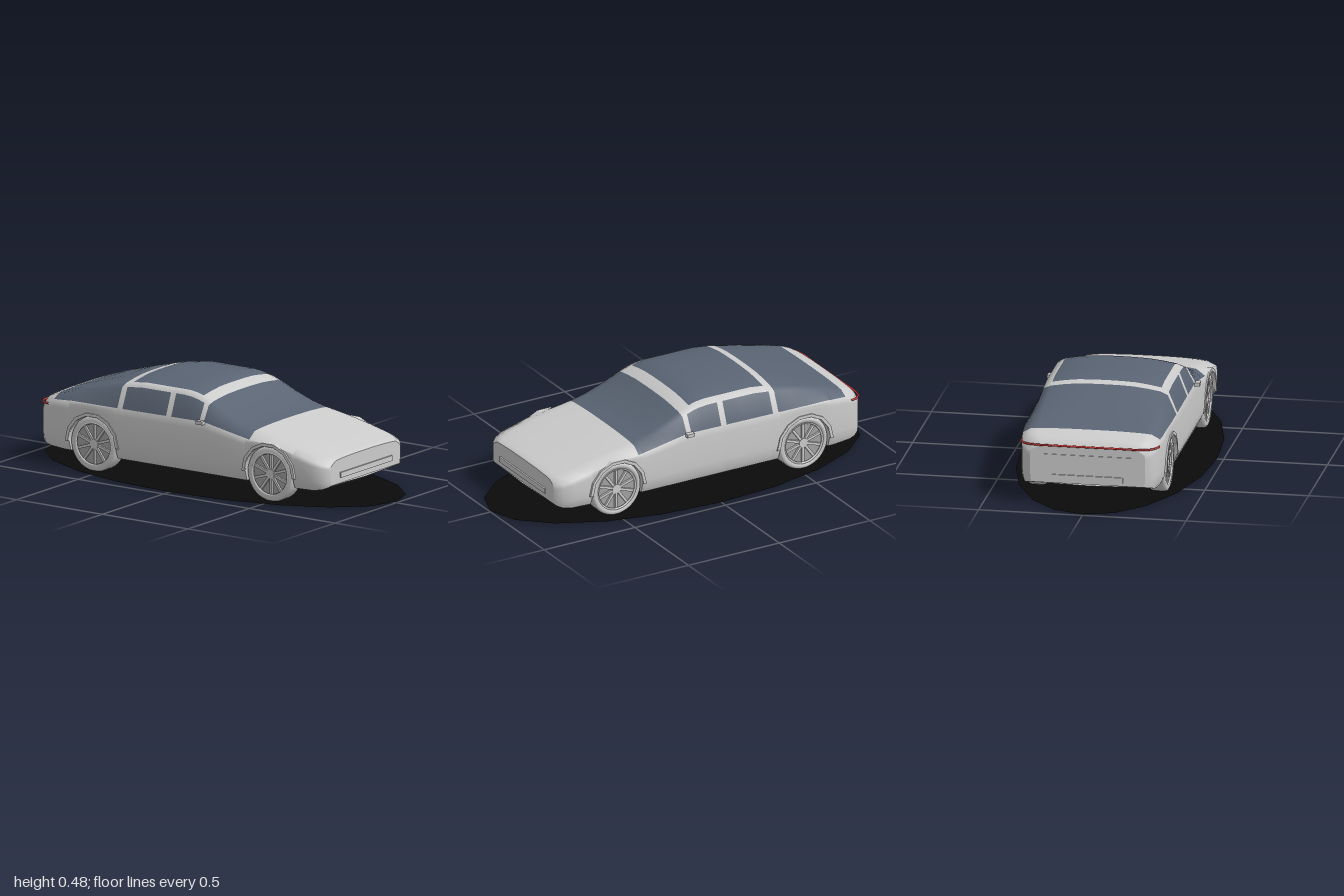
import * as THREE from 'three';

const mat = (name, color, side = THREE.FrontSide) => {
  const m = new THREE.MeshStandardMaterial({ color, side });
  m.name = name;
  return m;
};

// Linear lookup in a list of [z, value] keys running front to rear
const lookup = keys => z => {
  if (z >= keys[0][0]) return keys[0][1];
  for (let i = 1; i < keys.length; i++) {
    const [z0, v0] = keys[i - 1], [z1, v1] = keys[i];
    if (z >= z1) return v0 + (v1 - v0) * (z - z0) / (z1 - z0);
  }
  return keys[keys.length - 1][1];
};

// Body lines along the length
const top = lookup([[0.82, 0.235], [0.81, 0.242], [0.75, 0.256], [0.6, 0.288], [0.385, 0.333], [0.3, 0.353],
  [0.2, 0.395], [0.12, 0.438], [0.065, 0.464], [0.03, 0.476], [-0.02, 0.483], [-0.27, 0.483], [-0.345, 0.472],
  [-0.385, 0.463], [-0.5, 0.433], [-0.65, 0.388], [-0.76, 0.352], [-0.81, 0.335], [-0.84, 0.32], [-0.86, 0.297]]);
const belt = lookup([[0.82, 0.205], [0.75, 0.228], [0.6, 0.265], [0.5, 0.283], [0.385, 0.288], [0.12, 0.337],
  [-0.1, 0.335], [-0.65, 0.33], [-0.76, 0.322], [-0.82, 0.3], [-0.86, 0.268]]);
const width = lookup([[0.82, 0.283], [0.81, 0.3], [0.785, 0.322], [0.74, 0.335], [0.6, 0.341], [0.3, 0.345],
  [-0.5, 0.345], [-0.7, 0.341], [-0.79, 0.332], [-0.825, 0.32], [-0.85, 0.297], [-0.86, 0.277]]);
const sill = lookup([[0.82, 0.112], [0.8, 0.095], [0.74, 0.086], [0.6, 0.083], [-0.7, 0.083], [-0.8, 0.09], [-0.86, 0.11]]);

const AXLES = [0.5, -0.53], WHEEL_Y = 0.134, ARCH = 0.137;
const rim = z => {
  for (const a of AXLES) {
    const d = z - a;
    if (Math.abs(d) <= ARCH + 1e-6) return WHEEL_Y + Math.sqrt(Math.max(0, ARCH * ARCH - d * d));
  }
  return sill(z);
};

// Half section from the sill to the roof centre
const SIDE = [0, 0.12, 0.3, 0.6, 0.85, 1];
const UPPER = [[0.87, 0.72], [0.765, 0.84], [0.58, 0.92], [0.4, 0.975], [0.2, 0.995], [0, 1]];
const section = z => {
  const w = width(z), r = rim(z), b = belt(z), t = top(z);
  const half = SIDE.map((f, i) => {
    const y = r + (b - r) * f;
    const k = Math.min(1, Math.max(0, (0.15 - y) / 0.07));
    return [w * (1 - 0.06 * k * k) * (i === SIDE.length - 1 ? 0.99 : 1), y];
  });
  UPPER.forEach(([x, f]) => half.push([w * x, b + (t - b) * f]));
  return half.concat(half.slice(0, -1).reverse().map(([x, y]) => [-x, y]));
};
const underSection = z => {
  const [x, y] = section(z)[0], f = sill(z);
  return [[x, y], [0.235, y], [0.235, f], [0, f - 0.006], [-0.235, f], [-0.235, y], [-x, y]];
};

// Stations, placed on the glass edges and around the wheel arches
const stations = [0.82, 0.81, 0.785, 0.74, 0.69, 0.385, 0.34, 0.3, 0.25, 0.2, 0.16, 0.12, 0.095, 0.065, 0.03, -0.02,
  -0.07, -0.1, -0.2, -0.27, -0.31, -0.345, -0.355, -0.385, -0.71, -0.76, -0.79, -0.81, -0.825, -0.84, -0.85, -0.86];
for (const a of AXLES) {
  stations.push(a - ARCH - 0.001, a + ARCH + 0.001);
  for (let i = 0; i <= 14; i++) stations.push(a + ARCH * Math.cos(Math.PI * i / 14));
}
stations.sort((p, q) => q - p);

// Skin over the sections; slot(z, row) picks the material of each panel
function loft(profile, slot, flip) {
  const rows = stations.map(profile), n = rows[0].length;
  const pos = rows.flatMap((r, j) => r.flatMap(([x, y]) => [x, y, stations[j]]));
  const sets = [[], []];
  for (let j = 0; j < rows.length - 1; j++) for (let i = 0; i < n - 1; i++) {
    const a = j * n + i, b = a + 1, c = a + n, d = c + 1;
    const zMid = (stations[j] + stations[j + 1]) / 2;
    sets[slot(zMid, Math.min(i, n - 2 - i))].push(...(flip ? [a, b, c, b, d, c] : [a, c, b, b, c, d]));
  }
  const g = new THREE.BufferGeometry();
  g.setAttribute('position', new THREE.Float32BufferAttribute(pos, 3));
  g.setIndex(sets.flat());
  g.addGroup(0, sets[0].length, 0);
  g.addGroup(sets[0].length, sets[1].length, 1);
  g.computeVertexNormals();
  return g;
}

const within = (z, a, b) => z < a && z > b;
const glassSlot = (z, row) => {
  if (row < 5) return 0;
  if (within(z, 0.385, 0.12) || within(z, -0.385, -0.76)) return 1;
  if (row === 5) return within(z, 0.095, -0.07) || within(z, -0.1, -0.355) ? 1 : 0;
  return row > 6 && within(z, 0.065, -0.345) ? 1 : 0;
};

export function createModel() {
  const car = new THREE.Group();
  car.name = 'car';
  const paint = mat('bodyPaint', 0xcccccc, THREE.DoubleSide);
  const glass = mat('tintedGlass', 0x5a6473, THREE.DoubleSide);
  const metal = mat('wheelGrey', 0xa2a2a2);
  const red = mat('lampRed', 0xd83a3a);
  const black = mat('baseBlack', 0x0b0b0b, THREE.DoubleSide);

  const add = (name, geo, material, x = 0, y = 0, z = 0, parent = car) => {
    const m = new THREE.Mesh(geo, material);
    m.name = name;
    m.position.set(x, y, z);
    parent.add(m);
    return m;
  };
  const box = (name, w, h, d, x, y, z, material = paint) =>
    add(name, new THREE.BoxGeometry(w, h, d), material, x, y, z);

  // Shell with windows, and underside with wheel wells
  add('bodyShell', loft(section, glassSlot, false), [paint, glass]);
  const under = loft(underSection, () => 0, true).toNonIndexed();
  under.clearGroups();
  under.computeVertexNormals();
  add('underside', under, paint);

  // Flat nose and tail panels
  for (const [name, z] of [['nosePanel', 0.82], ['tailPanel', -0.86]]) {
    const shape = new THREE.Shape(section(z).map(([x, y]) => new THREE.Vector2(x, y)));
    const panel = add(name, new THREE.ShapeGeometry(shape), paint, 0, 0, z);
    if (z < 0) panel.rotation.y = Math.PI;
  }
  box('frontIntake', 0.42, 0.026, 0.012, 0, 0.152, 0.822);
  box('rearPlateRecess', 0.42, 0.055, 0.006, 0, 0.225, -0.861);
  box('rearDiffuser', 0.34, 0.026, 0.01, 0, 0.14, -0.861);

  // Tail lamp strip wrapping around the rear corners
  const lampHalf = [[0.333, -0.79], [0.322, -0.825], [0.296, -0.85], [0.25, -0.861], [0.12, -0.863]];
  const lampPath = [...lampHalf, ...lampHalf.map(([x, z]) => [-x, z]).reverse()]
    .map(([x, z]) => new THREE.Vector3(x, 0.296, z));
  add('tailLamp', new THREE.TubeGeometry(new THREE.CatmullRomCurve3(lampPath), 48, 0.005, 6), red);

  // Angular wheel arch trim
  const archShape = new THREE.Shape();
  const arc = (r, i) => [r * Math.cos(Math.PI * i / 7), r * Math.sin(Math.PI * i / 7)];
  archShape.moveTo(...arc(0.155, 0));
  for (let i = 1; i <= 7; i++) archShape.lineTo(...arc(0.155, i));
  for (let i = 7; i >= 0; i--) archShape.lineTo(...arc(0.139, i));
  archShape.closePath();
  const archGeo = new THREE.ExtrudeGeometry(archShape, { depth: 0.03, bevelEnabled: false });

  // Wheel parts, axis along x after rotation
  const tyreGeo = new THREE.LatheGeometry([[0.106, -0.042], [0.122, -0.042], [0.13, -0.037], [0.134, -0.028],
    [0.134, 0.028], [0.13, 0.037], [0.122, 0.042], [0.106, 0.042], [0.104, 0.02]]
    .map(p => new THREE.Vector2(...p)), 40).rotateZ(-Math.PI / 2);
  const discGeo = new THREE.CylinderGeometry(0.106, 0.106, 0.05, 32).rotateZ(Math.PI / 2);
  const hubGeo = new THREE.CylinderGeometry(0.024, 0.024, 0.012, 16).rotateZ(Math.PI / 2);
  const lipGeo = new THREE.TorusGeometry(0.103, 0.006, 6, 36).rotateY(Math.PI / 2);
  const spokeGeo = new THREE.BoxGeometry(0.01, 0.085, 0.013).translate(0, 0.06, 0);

  for (const side of [1, -1]) {
    AXLES.forEach((z, k) => {
      const wheel = new THREE.Group();
      wheel.name = k ? 'rearWheel' : 'frontWheel';
      wheel.position.set(side * 0.293, WHEEL_Y, z);
      add('tyre', tyreGeo, paint, 0, 0, 0, wheel);
      add('wheelDisc', discGeo, metal, 0, 0, 0, wheel);
      add('hub', hubGeo, paint, side * 0.032, 0, 0, wheel);
      add('rimLip', lipGeo, paint, side * 0.037, 0, 0, wheel);
      for (let i = 0; i < 10; i++)
        add('spoke', spokeGeo, paint, side * 0.03, 0, 0, wheel).rotation.x = i * Math.PI / 5;
      car.add(wheel);
      const arch = add('wheelArch', archGeo, paint, side * 0.335 - 0.015, WHEEL_Y, z);
      arch.rotation.y = Math.PI / 2;
    });
    box('sideMirror', 0.024, 0.017, 0.04, side * 0.356, 0.335, 0.11);
    for (const x of [0.1, 0.174]) box('underbodyBlock', 0.043, 0.026, 0.042, side * x, 0.072, 0.165);
  }

  // Oval base plate
  const base = add('ovalBase', new THREE.CircleGeometry(1, 20, Math.PI / 2).rotateX(-Math.PI / 2), black, 0, 0.005, 0);
  base.scale.set(0.47, 1, 1);
  return car;
}
